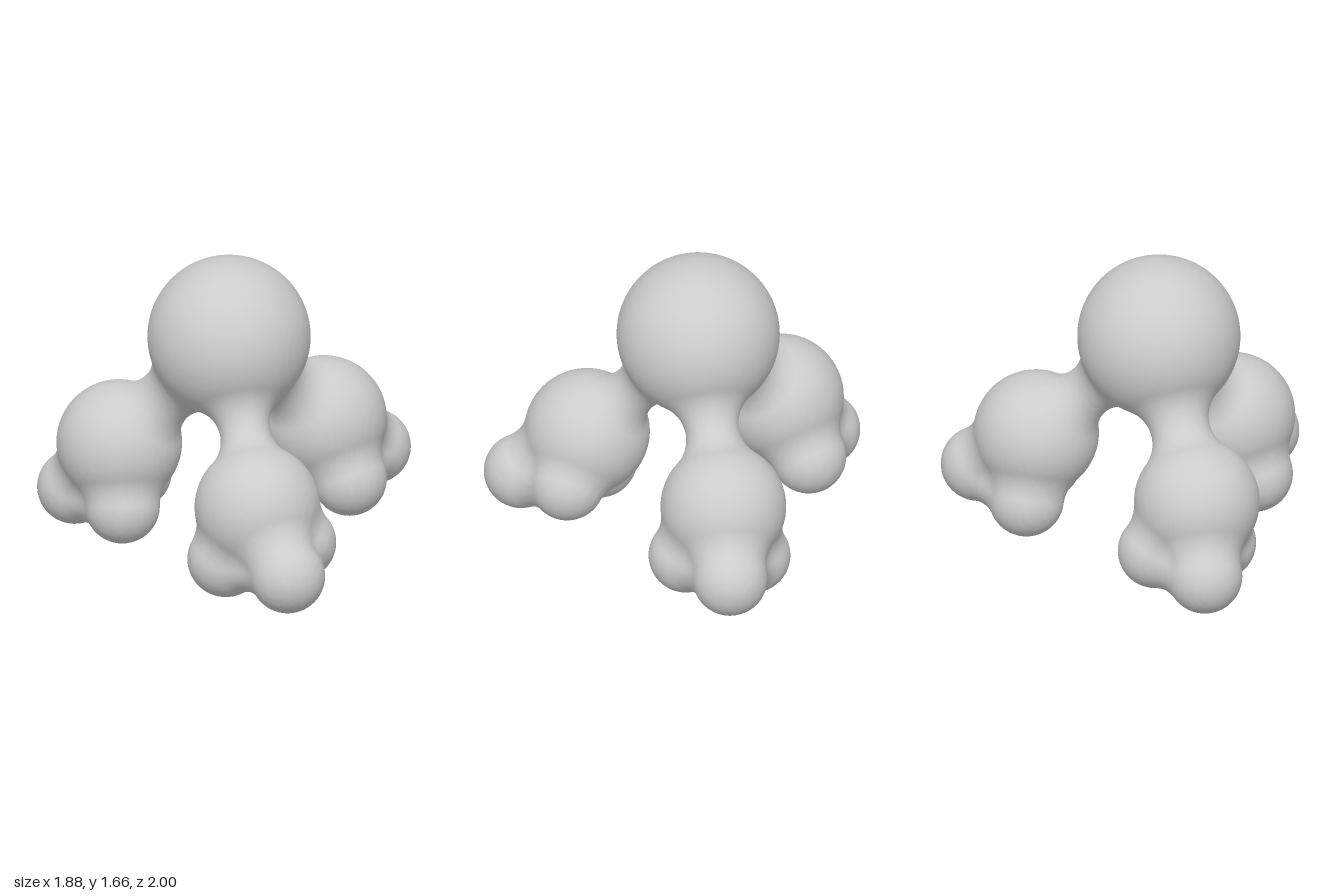
import * as THREE from 'three';

// Balls as [x, y, z, radius]: one large core, three mid balls, three small balls under each
const BALLS = [
  [0.13, 1.23, 0.06, 0.435],
  [-0.48, 0.54, 0.10, 0.335], [-0.745, 0.23, 0.07, 0.2], [-0.41, 0.235, 0.24, 0.2], [-0.48, 0.275, -0.13, 0.2],
  [0.48, 0.495, 0.565, 0.335], [0.74, 0.23, 0.80, 0.2], [0.33, 0.205, 0.645, 0.205], [0.685, 0.29, 0.485, 0.2],
  [0.45, 0.565, -0.53, 0.335], [0.63, 0.32, -0.80, 0.2], [0.63, 0.28, -0.435, 0.2], [0.32, 0.24, -0.62, 0.2],
].map(([x, y, z, r]) => ({ c: new THREE.Vector3(x, y, z), r }));
const PROBE = 0.2;  // radius of the ball rolled over the cluster to form the necks
const STEP = 0.02;  // grid spacing

// Circles where two swollen balls meet
function meetingCircles() {
  const out = [];
  BALLS.forEach((a, i) => BALLS.slice(i + 1).forEach((b) => {
    const axis = b.c.clone().sub(a.c), d = axis.length(), A = a.r + PROBE, B = b.r + PROBE;
    axis.divideScalar(d);
    const t = (A * A - B * B + d * d) / (2 * d);
    if (A * A > t * t) out.push({ axis, m: a.c.clone().addScaledVector(axis, t), rho: Math.sqrt(A * A - t * t) });
  }));
  return out;
}

const isFree = (q) => BALLS.every((b) => q.distanceTo(b.c) >= b.r + PROBE - 1e-6);

// Points where three swollen balls meet and the probe can rest
function restingPoints() {
  const out = [], n = BALLS.length;
  for (let i = 0; i < n; i++) for (let j = i + 1; j < n; j++) for (let k = j + 1; k < n; k++) {
    const [a, b, c] = [BALLS[i], BALLS[j], BALLS[k]];
    const [A, B, C] = [a, b, c].map((s) => s.r + PROBE);
    const ex = b.c.clone().sub(a.c), d = ex.length(), ac = c.c.clone().sub(a.c);
    ex.divideScalar(d);
    const u = ex.dot(ac), ey = ac.addScaledVector(ex, -u), v = ey.length();
    ey.divideScalar(v);
    const x = (A * A - B * B + d * d) / (2 * d);
    const y = (A * A - C * C + u * u + v * v) / (2 * v) - (u / v) * x;
    const z2 = A * A - x * x - y * y;
    if (!(z2 > 0)) continue;
    const ez = ex.clone().cross(ey);
    for (const s of [-1, 1]) {
      const q = a.c.clone().addScaledVector(ex, x).addScaledVector(ey, y).addScaledVector(ez, s * Math.sqrt(z2));
      if (isFree(q)) out.push(q);
    }
  }
  return out;
}

// Signed distance to the rolled skin, negative inside
function makeField() {
  const circles = meetingCircles(), points = restingPoints(), q = new THREE.Vector3();
  return (p) => {
    let u = Infinity;
    for (const b of BALLS) u = Math.min(u, p.distanceTo(b.c) - b.r);
    if (u < -0.06 || u > PROBE) return u;
    let best = 1;
    const consider = () => {
      const d = q.distanceTo(p);
      if (d < best && isFree(q)) best = d;
    };
    for (const b of BALLS) {
      q.copy(p).sub(b.c).setLength(b.r + PROBE).add(b.c);
      consider();
    }
    for (const { axis, m, rho } of circles) {
      q.copy(p).sub(m);
      q.addScaledVector(axis, -q.dot(axis)).setLength(rho).add(m);
      consider();
    }
    for (const s of points) best = Math.min(best, s.distanceTo(p));
    return PROBE - best;
  };
}

// Net of quads through every grid cell the surface crosses
function skinGeometry() {
  const field = makeField(), p = new THREE.Vector3();
  const lo = [-1.01, -0.07, -1.07], size = [102, 91, 108];
  const stride = [1, size[0], size[0] * size[1]];
  const at = (g, target) => target.set(lo[0] + g[0] * STEP, lo[1] + g[1] * STEP, lo[2] + g[2] * STEP);
  const values = new Float32Array(size[0] * size[1] * size[2]);
  const eachCell = (margin, fn) => {
    for (let z = margin; z < size[2] - margin; z++)
      for (let y = margin; y < size[1] - margin; y++)
        for (let x = margin; x < size[0] - margin; x++) fn([x, y, z], x + y * stride[1] + z * stride[2]);
  };
  eachCell(0, (g, id) => { values[id] = field(at(g, p)); });

  const positions = [], indices = [], vertexOf = new Map();
  const grad = new THREE.Vector3(), e = 0.003;
  const slope = (axis) => {
    const old = p[axis];
    p[axis] = old + e;
    const high = field(p);
    p[axis] = old - e;
    const low = field(p);
    p[axis] = old;
    return high - low;
  };

  // One vertex per crossed cell, pulled onto the surface
  eachCell(1, (g, id) => {
    const sum = [0, 0, 0];
    let count = 0;
    for (let corner = 0; corner < 8; corner++) for (let a = 0; a < 3; a++) {
      if (corner & (1 << a)) continue;
      const bits = [corner & 1, (corner >> 1) & 1, corner >> 2];
      const from = id + bits[0] + bits[1] * stride[1] + bits[2] * stride[2];
      const f0 = values[from], f1 = values[from + stride[a]];
      if ((f0 < 0) === (f1 < 0)) continue;
      bits[a] = f0 / (f0 - f1);
      bits.forEach((t, i) => { sum[i] += t; });
      count++;
    }
    if (!count) return;
    at(g.map((v, i) => v + sum[i] / count), p);
    grad.set(slope('x'), slope('y'), slope('z')).normalize();
    p.addScaledVector(grad, -field(p));
    vertexOf.set(id, positions.length / 3);
    positions.push(p.x, p.y, p.z);
  });

  // One quad per crossed grid edge
  eachCell(2, (g, id) => {
    for (let a = 0; a < 3; a++) {
      const inside = values[id] < 0;
      if (inside === (values[id + stride[a]] < 0)) continue;
      const u = stride[(a + 1) % 3], v = stride[(a + 2) % 3];
      const [i, j, k, l] = [id - u - v, id - v, id, id - u].map((c) => vertexOf.get(c));
      indices.push(...(inside ? [i, j, k, i, k, l] : [i, k, j, i, l, k]));
    }
  });

  const geometry = new THREE.BufferGeometry();
  geometry.setAttribute('position', new THREE.Float32BufferAttribute(positions, 3));
  geometry.setIndex(indices);
  geometry.computeVertexNormals();
  return geometry;
}

export function createModel() {
  const group = new THREE.Group();
  group.name = 'blendedBallCluster';
  const skin = new THREE.Mesh(skinGeometry(), new THREE.MeshStandardMaterial({ color: 0xcccccc }));
  skin.name = 'clusterSkin';
  group.add(skin);
  return group;
}
